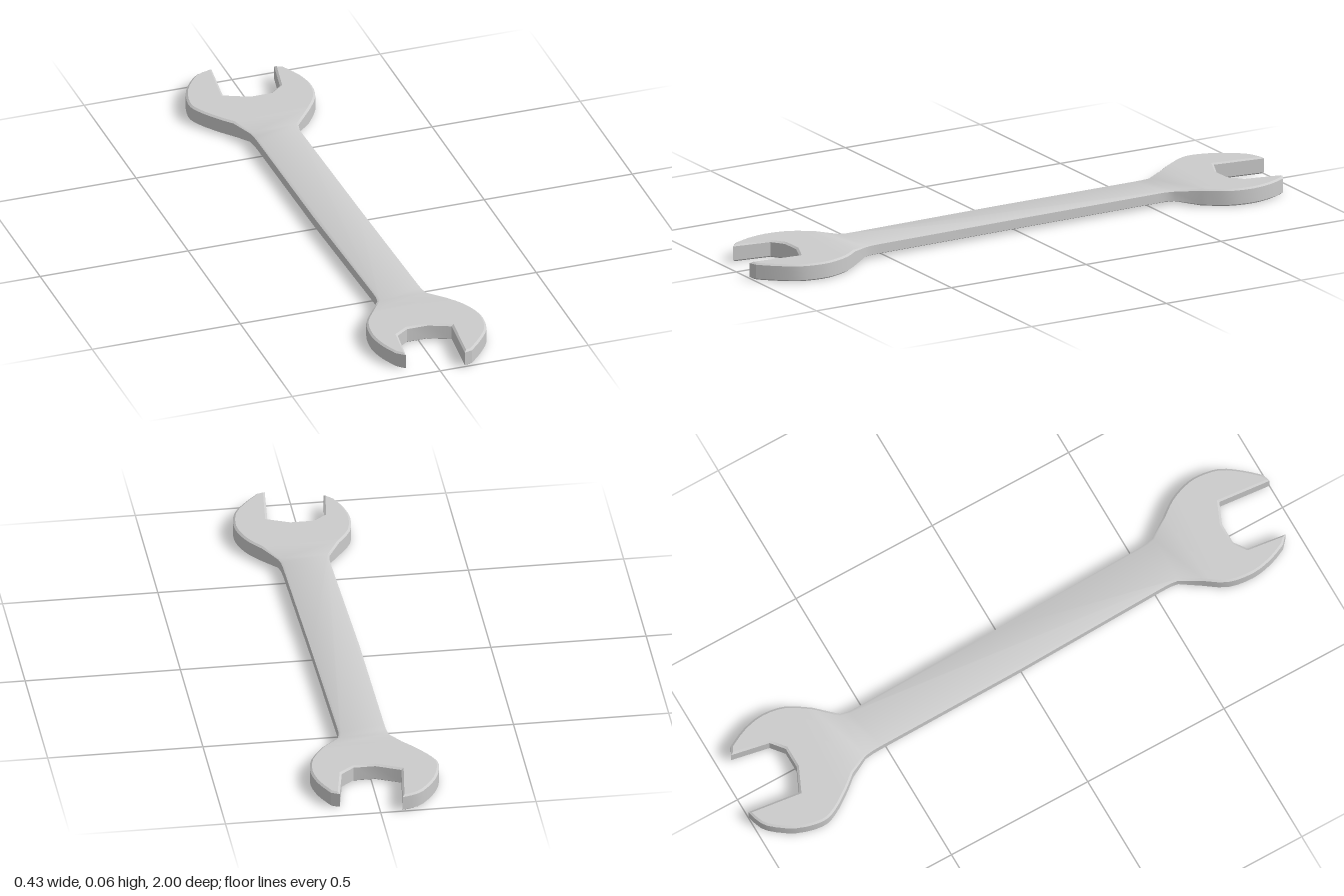
import * as THREE from 'three';
import { toCreasedNormals } from 'three/addons/utils/BufferGeometryUtils.js';

const MID = 0.028;   // height of the middle plane
const INSET = 0.007; // width of the edge chamfer

// Smooth run through a few [x, z] points
const arc = (pts) =>
  new THREE.SplineCurve(pts.map(([x, z]) => new THREE.Vector2(x, z))).getPoints((pts.length - 1) * 3);
const line = (pts) => pts.map(([x, z]) => new THREE.Vector2(x, z));

// Half thickness: thick jaws, thinner handle
const halfThickness = (z) =>
  THREE.MathUtils.lerp(0.0185, 0.028, THREE.MathUtils.clamp((Math.abs(z) - 0.58) / 0.065, 0, 1));

function wrenchGeometry() {
  // Back jaw, from the left neck round to the right neck
  const backJaw = [
    ...arc([[-0.12, -0.645], [-0.157, -0.69], [-0.2, -0.755], [-0.215, -0.81], [-0.193, -0.895], [-0.14, -0.97], [-0.1, -0.992]]),
    ...line([[-0.07, -1], [-0.092, -0.826], [-0.013, -0.79], [0.057, -0.79], [0.1, -0.825], [0.125, -0.952]]),
    ...arc([[0.152, -0.938], [0.183, -0.873], [0.197, -0.8], [0.183, -0.72], [0.135, -0.645]]),
  ];
  // Front jaw, from the right neck round to the left neck
  const frontJaw = [
    ...arc([[0.145, 0.645], [0.182, 0.695], [0.206, 0.755], [0.212, 0.81], [0.198, 0.88], [0.156, 0.942], [0.11, 0.992]]),
    ...line([[0.083, 1], [0.1, 0.825], [0.03, 0.795], [-0.04, 0.795], [-0.082, 0.825], [-0.1, 0.953]]),
    ...arc([[-0.126, 0.93], [-0.15, 0.873], [-0.163, 0.8], [-0.15, 0.715], [-0.105, 0.645]]),
  ];
  // Handle sides with their neck fillets
  const rightSide = line([[0.077, -0.58], [0.07, -0.55], [0.07, -0.52], [0.08, 0], [0.093, 0.52], [0.095, 0.555], [0.101, 0.58]]);
  const leftSide = line([[-0.065, 0.58], [-0.061, 0.555], [-0.061, 0.52], [-0.076, 0], [-0.082, -0.52], [-0.083, -0.55], [-0.087, -0.58]]);
  const outline = [...backJaw, ...rightSide, ...frontJaw, ...leftSide];
  const n = outline.length;

  // Four rings per outline point: inset bottom, lower edge, upper edge, inset top
  const position = [];
  outline.forEach((p, i) => {
    const a = p.clone().sub(outline[(i + n - 1) % n]).normalize();
    const b = outline[(i + 1) % n].clone().sub(p).normalize();
    const inward = new THREE.Vector2(-a.y - b.y, a.x + b.x).normalize();
    const cos = Math.max(0.6, inward.x * -b.y + inward.y * b.x);
    const q = p.clone().addScaledVector(inward, INSET / cos);
    const t = halfThickness(p.y);
    const bevel = t * 0.18;
    position.push(q.x, MID - t, q.y, p.x, MID - t + bevel, p.y, p.x, MID + t - bevel, p.y, q.x, MID + t, q.y);
  });

  // Side wall and chamfers
  const index = [];
  for (let i = 0; i < n; i++) {
    const j = (i + 1) % n;
    for (let k = 0; k < 3; k++) {
      const a = i * 4 + k, b = j * 4 + k;
      index.push(a, b + 1, b, a, a + 1, b + 1);
    }
  }

  // Top and bottom faces, divided where the thickness changes
  const range = (from, count) => Array.from({ length: count }, (_, i) => from + i);
  const r0 = backJaw.length, f0 = r0 + rightSide.length, l0 = f0 + frontJaw.length;
  const regions = [
    range(0, r0),
    [r0 - 1, r0, n - 1, 0],
    [...range(r0, rightSide.length), ...range(l0, leftSide.length)],
    [f0 - 1, f0, l0 - 1, l0],
    range(f0, frontJaw.length),
  ];
  for (const ids of regions) {
    const pts = ids.map((i) => new THREE.Vector2(position[i * 12], position[i * 12 + 2]));
    for (const tri of THREE.ShapeUtils.triangulateShape(pts, [])) {
      if (THREE.ShapeUtils.area(tri.map((i) => pts[i])) > 0) tri.reverse();
      const [a, b, c] = tri.map((i) => ids[i] * 4);
      index.push(a + 3, b + 3, c + 3, a, c, b);
    }
  }

  const geometry = new THREE.BufferGeometry();
  geometry.setAttribute('position', new THREE.Float32BufferAttribute(position, 3));
  geometry.setIndex(index);
  return toCreasedNormals(geometry, 0.5);
}

export function createModel() {
  const group = new THREE.Group();
  group.name = 'openEndedWrench';
  const body = new THREE.Mesh(wrenchGeometry(), new THREE.MeshStandardMaterial({ color: 0xcccccc }));
  body.name = 'wrenchBody';
  group.add(body);
  return group;
}
